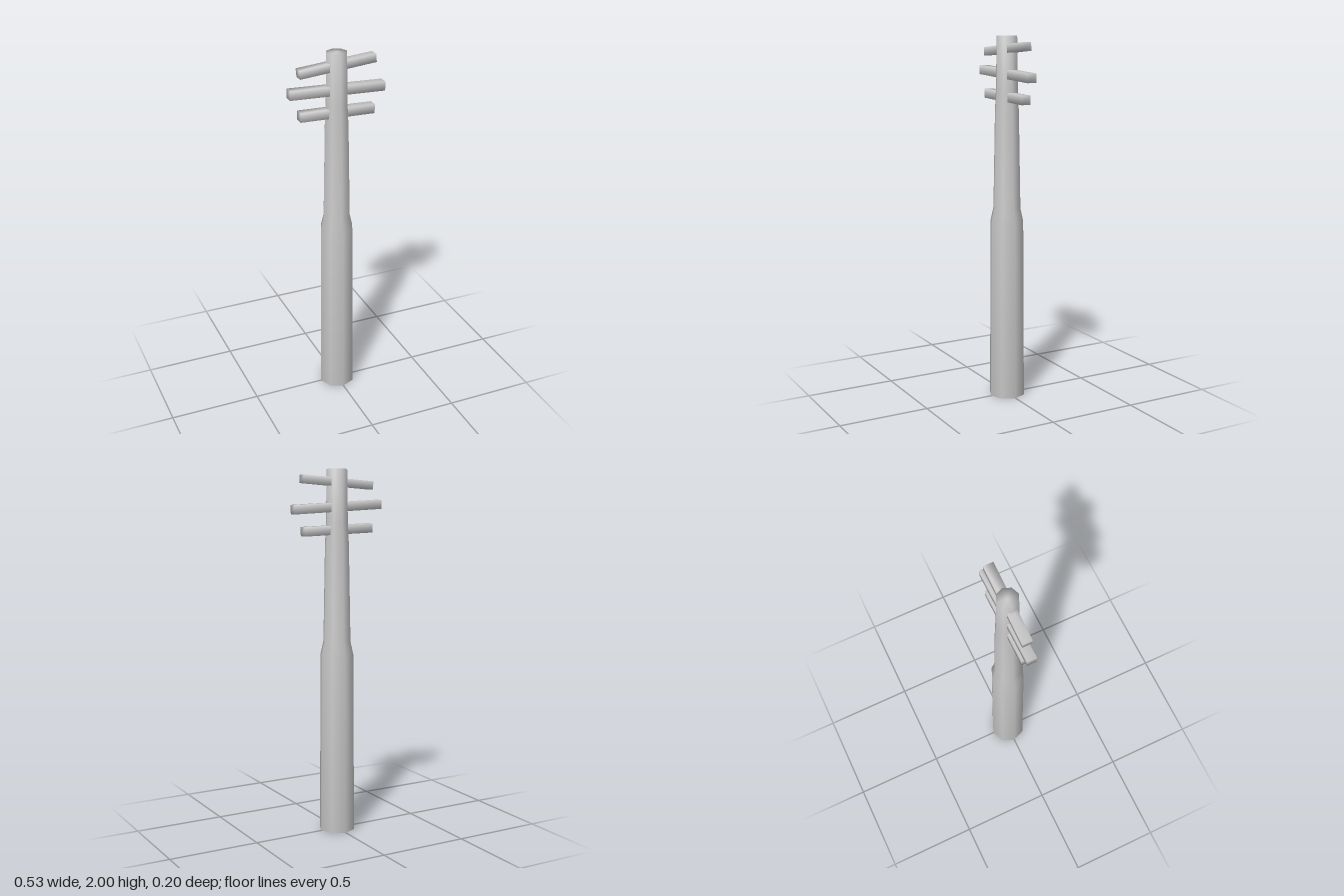
import * as THREE from 'three';
import { mergeVertices } from 'three/addons/utils/BufferGeometryUtils.js';

const material = new THREE.MeshStandardMaterial({ color: 0xcccccc });

// Box with shared corners, so its shading is smooth
function softBox(w, h, d) {
  const box = new THREE.BoxGeometry(w, h, d);
  box.deleteAttribute('normal');
  box.deleteAttribute('uv');
  const g = mergeVertices(box);
  g.computeVertexNormals();
  return g;
}

export function createModel() {
  const group = new THREE.Group();

  // Eight-sided tapering pole with a stepped shoulder and closed ends
  const profile = [
    [0, 0], [0.1, 0], [0.093, 1.0], [0.077, 1.07],
    [0.067, 1.6], [0.061, 1.72], [0.057, 2], [0, 2],
  ].map(([r, y]) => new THREE.Vector2(r, y));
  const pole = new THREE.Mesh(new THREE.LatheGeometry(profile, 8), material);
  pole.name = 'pole';
  group.add(pole);

  // Crossbars through the top: name, left end [x, y], right end [x, y], height
  const bars = [
    ['upperCrossbar', [-0.212, 1.911], [0.212, 1.948], 0.045],
    ['middleCrossbar', [-0.266, 1.809], [0.266, 1.788], 0.049],
    ['lowerCrossbar', [-0.21, 1.682], [0.207, 1.671], 0.049],
  ];
  for (const [name, [x0, y0], [x1, y1], height] of bars) {
    const bar = new THREE.Mesh(softBox(Math.hypot(x1 - x0, y1 - y0), height, 0.052), material);
    bar.name = name;
    bar.position.set((x0 + x1) / 2, (y0 + y1) / 2, 0);
    bar.rotation.z = Math.atan2(y1 - y0, x1 - x0);
    group.add(bar);
  }
  return group;
}
